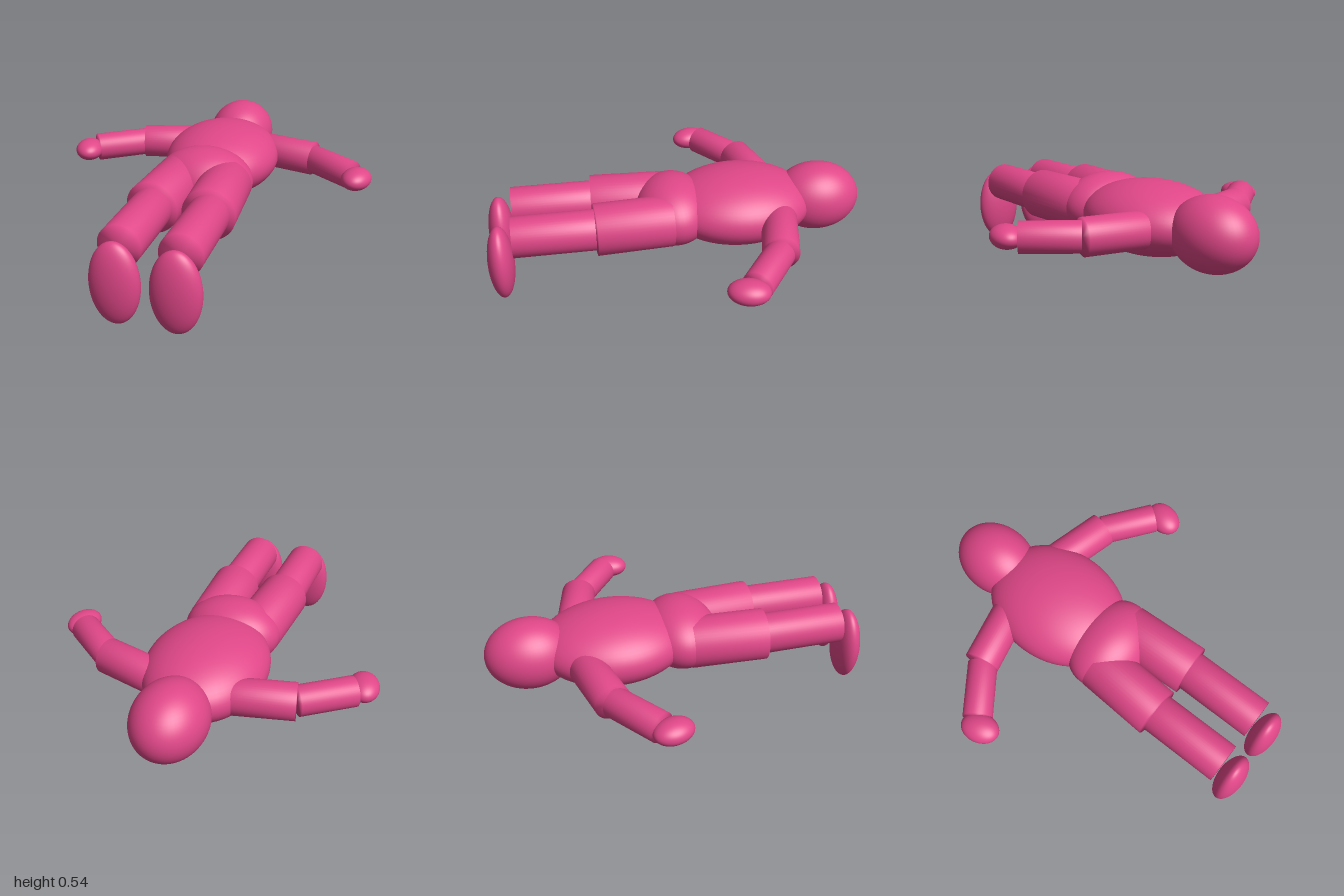
import * as THREE from 'three';
import { mergeVertices } from 'three/addons/utils/BufferGeometryUtils.js';

export function createModel() {
  const model = new THREE.Group();
  model.name = 'figure';
  const pink = new THREE.MeshStandardMaterial({ color: 0xe04788 });
  pink.name = 'pink';
  const midY = 0.357; // height of the body's centre line

  const add = (name, geometry) => {
    const mesh = new THREE.Mesh(geometry, pink);
    mesh.name = name;
    model.add(mesh);
    return mesh;
  };

  // Ellipsoid from its centre and radii
  const ellipsoid = (name, centre, radii) => {
    const g = new THREE.SphereGeometry(1, 48, 32);
    g.scale(...radii);
    const mesh = add(name, g);
    mesh.position.set(...centre);
    return mesh;
  };

  // Closed cylinder between two points, softly shaded over its rims
  const limb = (name, from, to, radius) => {
    const a = new THREE.Vector3(from[0], midY, from[1]);
    const b = new THREE.Vector3(to[0], midY, to[1]);
    const axis = b.clone().sub(a);
    let g = new THREE.CylinderGeometry(radius, radius, axis.length(), 48);
    g.deleteAttribute('normal');
    g.deleteAttribute('uv');
    g = mergeVertices(g, 1e-4);
    g.computeVertexNormals();
    const mesh = add(name, g);
    mesh.position.copy(a).add(b).multiplyScalar(0.5);
    mesh.quaternion.setFromUnitVectors(new THREE.Vector3(0, 1, 0), axis.normalize());
  };

  // Lying trunk, head towards the back
  ellipsoid('head', [0, midY, -0.77], [0.185, 0.185, 0.23]);
  ellipsoid('torso', [0, midY, -0.335], [0.31, 0.185, 0.395]);
  ellipsoid('pelvis', [0, midY, 0.02], [0.258, 0.173, 0.2]);

  // Mirrored arms and legs
  for (const [side, s] of [['left', 1], ['right', -1]]) {
    limb(side + 'UpperArm', [s * 0.2, -0.51], [s * 0.503, -0.436], 0.093);
    limb(side + 'Forearm', [s * 0.502, -0.43], [s * 0.735, -0.258], 0.077);
    const hand = ellipsoid(side + 'Hand', [s * 0.77, midY, -0.21], [0.077, 0.057, 0.102]);
    hand.rotation.y = -s * 0.25;

    limb(side + 'Thigh', [s * 0.124, 0.05], [s * 0.145, 0.442], 0.135);
    limb(side + 'Shin', [s * 0.145, 0.444], [s * 0.145, 0.862], 0.106);
    ellipsoid(side + 'Foot', [s * 0.144, 0.208, 0.932], [0.123, 0.207, 0.068]);
  }
  return model;
}
